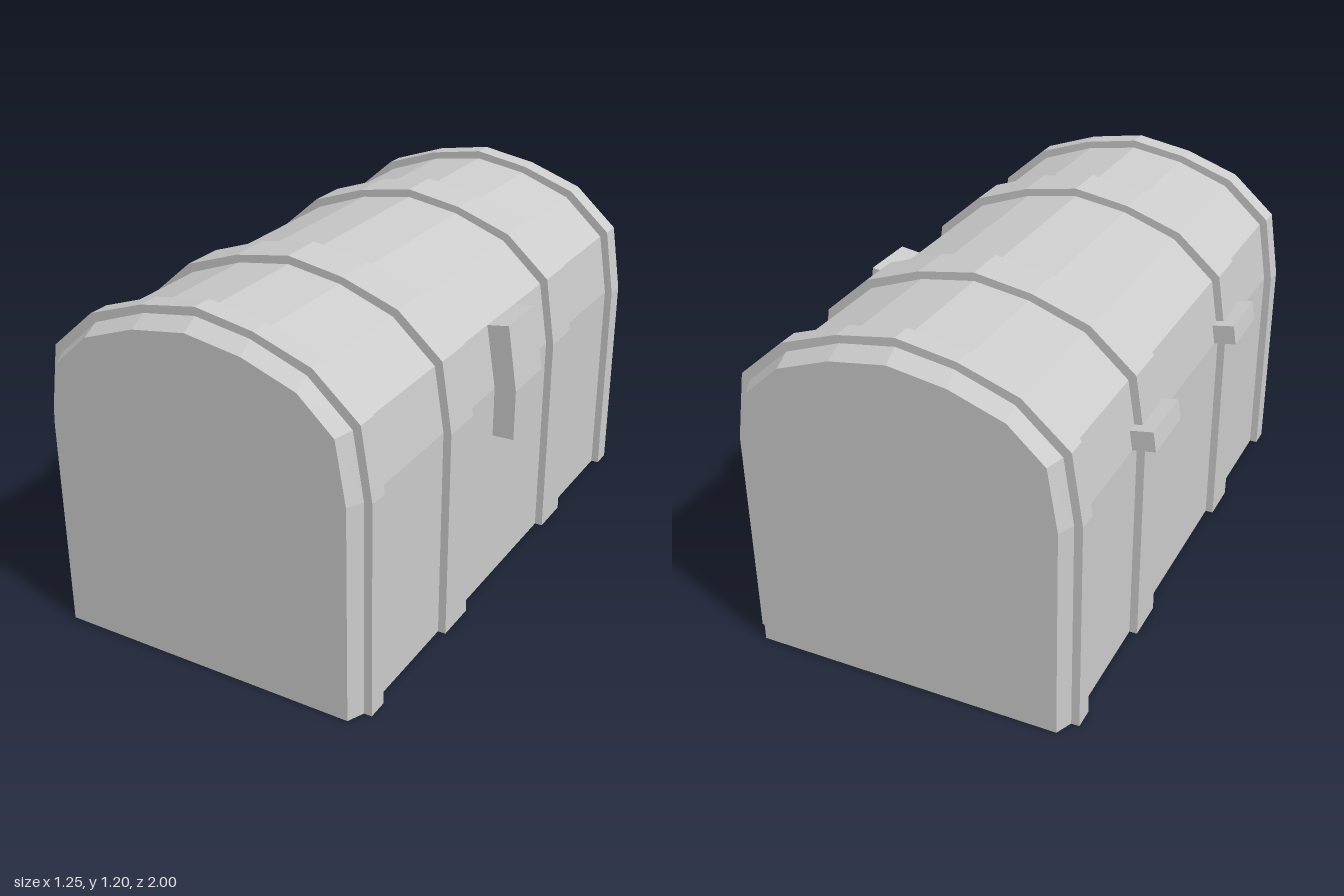
import * as THREE from 'three';

const grey = new THREE.MeshStandardMaterial({ color: 0xcccccc, flatShading: true });

// Mirrors a right-hand half profile (foot to crown) into a full arch, counter-clockwise
const arch = (half) => [...half, ...half.slice(0, -1).reverse().map(([x, y]) => [-x, y])];

const endArch = arch([[0.525, 0], [0.525, 0.73], [0.49, 0.935], [0.37, 1.045], [0.19, 1.11], [0, 1.14]]);
const bodyArch = arch([[0.55, 0], [0.55, 0.73], [0.515, 0.945], [0.37, 1.075], [0.185, 1.143], [0, 1.172]]);
const bandArch = arch([[0.577, 0], [0.577, 0.73], [0.54, 0.965], [0.387, 1.1], [0.195, 1.167], [0, 1.2]]);

// Closed solid through cross-sections given as [z, points], from back to front
function loft(sections) {
  const pos = [];
  const tri = (...corners) => corners.forEach((c) => pos.push(...c));
  const rings = sections.map(([z, pts]) => pts.map(([x, y]) => [x, y, z]));
  const n = rings[0].length;
  const last = rings.length - 1;
  for (let i = 0; i < n; i++) {
    const j = (i + 1) % n;
    for (let k = 0; k < last; k++) {
      const [a, b, c, d] = [rings[k][i], rings[k][j], rings[k + 1][j], rings[k + 1][i]];
      tri(a, b, c);
      tri(a, c, d);
    }
    tri([0, 0.5, sections[0][0]], rings[0][j], rings[0][i]);
    tri([0, 0.5, sections[last][0]], rings[last][i], rings[last][j]);
  }
  const geo = new THREE.BufferGeometry();
  geo.setAttribute('position', new THREE.Float32BufferAttribute(pos, 3));
  geo.computeVertexNormals();
  return geo;
}

// Extrudes an outline along z, centred on the given z
function slab(name, pts, z, depth) {
  const shape = new THREE.Shape(pts.map(([x, y]) => new THREE.Vector2(x, y)));
  const geo = new THREE.ExtrudeGeometry(shape, { depth, bevelEnabled: false });
  geo.translate(0, 0, z - depth / 2);
  const mesh = new THREE.Mesh(geo, grey);
  mesh.name = name;
  return mesh;
}

export function createModel() {
  const chest = new THREE.Group();
  chest.name = 'chest';

  // Barrel-topped body with chamfered ends
  const body = new THREE.Mesh(
    loft([[-1, endArch], [-0.945, bodyArch], [0.945, bodyArch], [1, endArch]]), grey);
  body.name = 'body';
  chest.add(body);

  // Raised straps: narrow ones at the ends, wide ones between
  const strap = [...bandArch, ...[...bodyArch].reverse()];
  for (const s of [-1, 1]) {
    chest.add(slab('endBand', strap, s * 0.91, 0.07));
    chest.add(slab('middleBand', strap, s * 0.39, 0.15));
  }

  // Latch bent over the lid seam
  const latch = [[0.55, 0.557], [0.625, 0.56], [0.625, 0.735], [0.59, 0.957], [0.515, 0.945], [0.55, 0.73]];
  chest.add(slab('latch', latch, 0, 0.205));

  // Hinge blocks, tilted with the lower slope of the lid
  const hinge = [[-0.627, 0.742], [-0.55, 0.73], [-0.54, 0.797], [-0.616, 0.81]];
  for (const z of [-0.395, 0.385]) chest.add(slab('hinge', hinge, z, 0.22));

  return chest;
}
